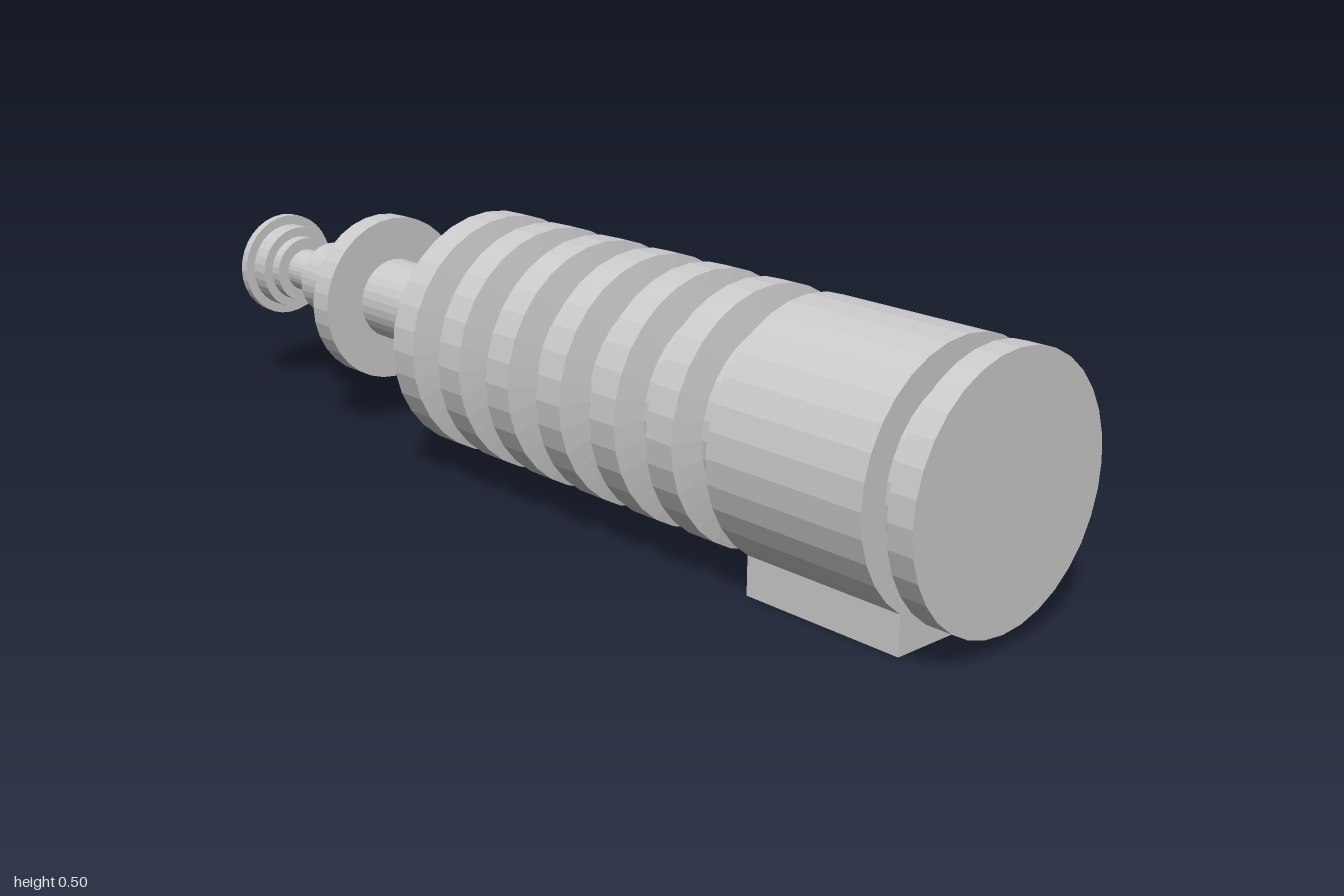
import * as THREE from 'three';

const AXIS_Y = 0.268;
const material = new THREE.MeshStandardMaterial({ color: 0xcccccc, flatShading: true });

// Solid turned about the z axis; profile is [radius, z] from back to front
function turned(name, profile) {
  const points = profile.map(([r, z]) => new THREE.Vector2(r, z));
  const geometry = new THREE.LatheGeometry(points, 32).rotateX(Math.PI / 2);
  const mesh = new THREE.Mesh(geometry, material);
  mesh.name = name;
  mesh.position.y = AXIS_Y;
  return mesh;
}

export function createModel() {
  const model = new THREE.Group();
  model.name = 'ribbedHandle';

  // Front cap, groove and smooth barrel, with a slightly sloped rear face
  model.add(turned('barrel', [
    [0, 0.56], [0.175, 0.56], [0.235, 0.57], [0.235, 0.9], [0.18, 0.9],
    [0.18, 0.95], [0.235, 0.95], [0.235, 1], [0, 1],
  ]));

  // Ribbed grip: evenly spaced ribs with sloped flanks
  const grip = [[0, -0.34], [0.165, -0.34], [0.175, -0.335]];
  for (let i = 0; i < 6; i++) {
    const z = -0.243 + i * 0.1405;
    grip.push([0.175, z - 0.042], [0.235, z - 0.031], [0.235, z + 0.031], [0.175, z + 0.042]);
  }
  grip.push([0.175, 0.56], [0, 0.56]);
  model.add(turned('ribbedGrip', grip));

  // Narrow neck, stepped collar and flared end knob
  model.add(turned('neckAndKnob', [
    [0, -1], [0.11, -1], [0.11, -0.981], [0.09, -0.981], [0.09, -0.94],
    [0.07, -0.94], [0.07, -0.915], [0.045, -0.915], [0.045, -0.817],
    [0.077, -0.817], [0.077, -0.703], [0.115, -0.703], [0.115, -0.636],
    [0.17, -0.636], [0.17, -0.586], [0.083, -0.586], [0.083, -0.34], [0, -0.34],
  ]));

  // Off-centre control box under the barrel
  const box = new THREE.Mesh(new THREE.BoxGeometry(0.176, 0.1, 0.33), material);
  box.name = 'controlBox';
  box.position.set(-0.043, 0.05, 0.735);
  model.add(box);

  return model;
}
